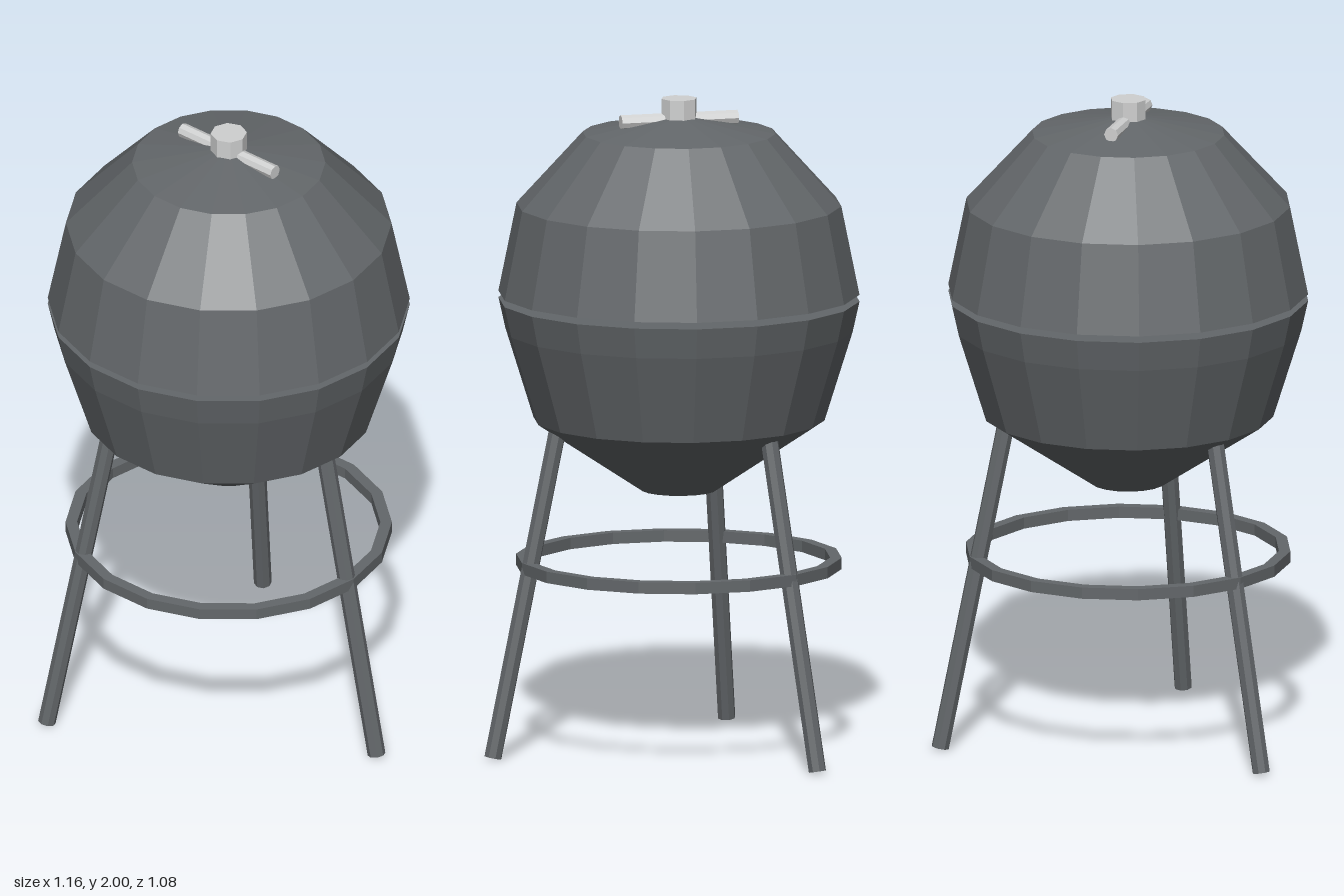
import * as THREE from 'three';

export function createModel() {
  const model = new THREE.Group();
  const enamel = new THREE.MeshStandardMaterial({ color: 0x63676a, flatShading: true });
  enamel.name = 'dark grey enamel';
  const steel = new THREE.MeshStandardMaterial({ color: 0xcfd0d0, flatShading: true });
  steel.name = 'light steel';

  // everything turns around an axis slightly left of centre
  const kettle = new THREE.Group();
  kettle.name = 'kettleGrill';
  kettle.position.x = -0.033;
  model.add(kettle);

  const add = (name, geometry, material) => {
    const mesh = new THREE.Mesh(geometry, material);
    mesh.name = name;
    kettle.add(mesh);
    return mesh;
  };
  // 18-sided solid of revolution with a corner on the x axis; profile runs bottom to top
  const turned = (profile) => new THREE.LatheGeometry(
    profile.map(([r, y]) => new THREE.Vector2(r, y)), 18, Math.PI / 2);

  // bowl and lid, separated by a narrow gap
  add('bowl', turned([[0, 0.8], [0.113, 0.8], [0.441, 1.018], [0.526, 1.29], [0.547, 1.384], [0, 1.384]]), enamel);
  add('lid', turned([[0, 1.404], [0.547, 1.404], [0.492, 1.675], [0.292, 1.894], [0, 1.95]]), enamel);

  // brace ring around the legs
  add('braceRing', turned([[0.458, 0.563], [0.493, 0.563], [0.493, 0.598], [0.458, 0.598], [0.458, 0.563]]), enamel);

  // three splayed legs
  const up = new THREE.Vector3(0, 1, 0);
  for (let i = 0; i < 3; i++) {
    const a = (i * Math.PI * 2) / 3;
    const foot = new THREE.Vector3(Math.cos(a) * 0.584, 0.006, Math.sin(a) * 0.584);
    const top = new THREE.Vector3(Math.cos(a) * 0.377, 1.02, Math.sin(a) * 0.377);
    const along = top.clone().sub(foot);
    const leg = add('leg', new THREE.CylinderGeometry(0.027, 0.027, along.length(), 8), enamel);
    leg.position.copy(foot).add(top).multiplyScalar(0.5);
    leg.quaternion.setFromUnitVectors(up, along.normalize());
  }

  // handle bar half sunk into the lid, with a knob on top
  const bar = add('handleBar', new THREE.CylinderGeometry(0.022, 0.022, 0.366, 8), steel);
  bar.rotation.z = Math.PI / 2;
  bar.position.y = 1.934;
  const knob = add('knob', new THREE.CylinderGeometry(0.055, 0.055, 0.07, 8), steel);
  knob.position.y = 1.965;

  return model;
}
